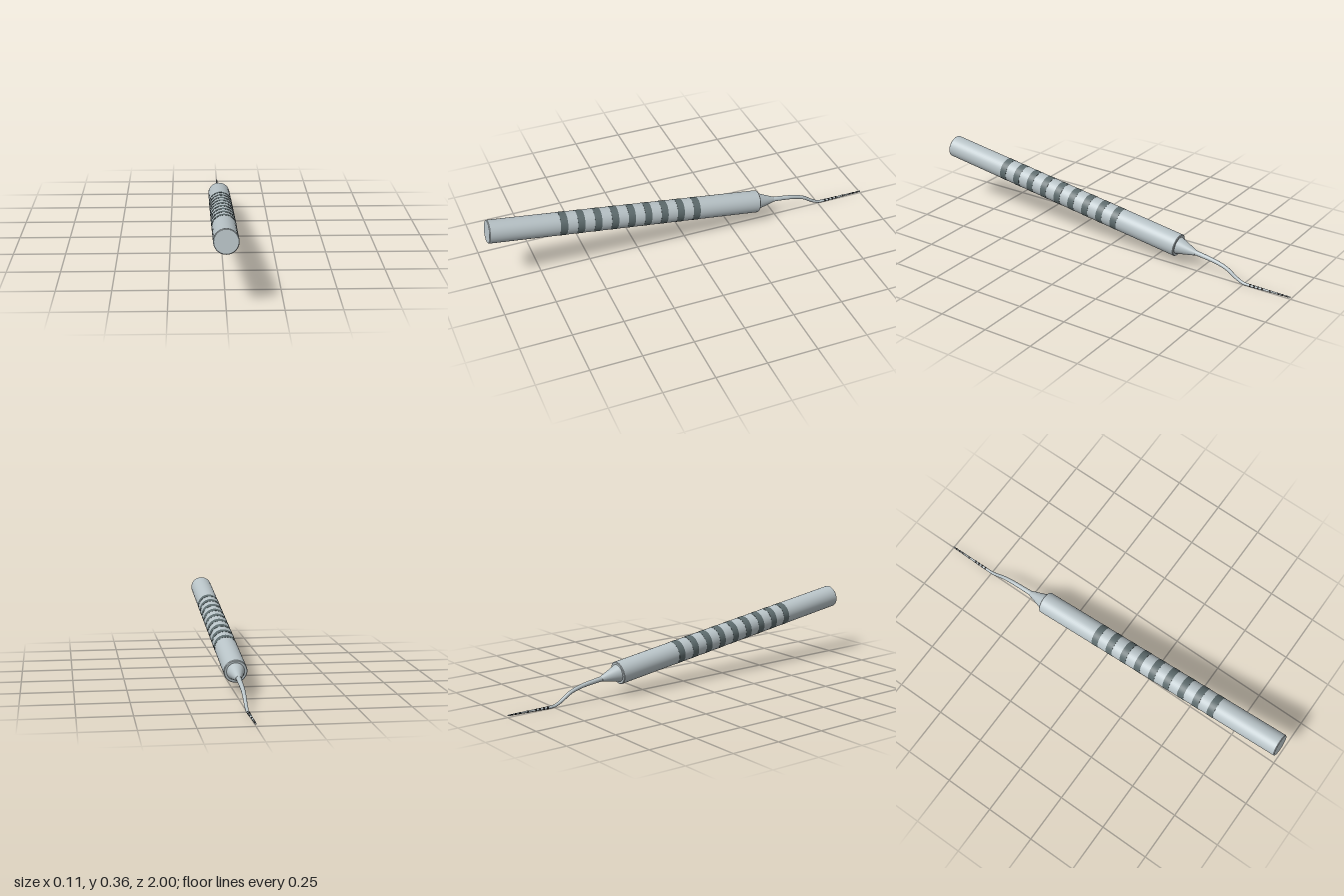
import * as THREE from 'three';

export function createModel() {
  const root = new THREE.Group();
  const metal = new THREE.MeshStandardMaterial({ color: 0xb8c3c7 });
  metal.name = 'brushed metal';
  const grip = new THREE.MeshStandardMaterial({ color: 0x5d6b6d });
  grip.name = 'grip grey';
  const ink = new THREE.MeshStandardMaterial({ color: 0x1c1e20 });
  ink.name = 'mark black';

  const add = (parent, geometry, material, name) => {
    const mesh = new THREE.Mesh(geometry, material);
    mesh.name = name;
    parent.add(mesh);
    return mesh;
  };
  // Lathe with hard corners: every profile span keeps its own normals
  const turned = (parent, profile, material, name, sides = 48) => {
    for (let i = 0; i + 1 < profile.length; i++) {
      const span = profile.slice(i, i + 2).map(([r, y]) => new THREE.Vector2(r, y));
      add(parent, new THREE.LatheGeometry(span, sides), material, name);
    }
  };

  // Handle axis: local +y points towards the butt end
  const butt = new THREE.Vector3(0, 0.309, 0.992);
  const neck = new THREE.Vector3(0, 0.11, -0.395);
  const axis = butt.clone().sub(neck);
  const length = axis.length();
  axis.normalize();
  const handle = new THREE.Group();
  handle.name = 'handle';
  handle.position.copy(neck);
  handle.quaternion.setFromUnitVectors(new THREE.Vector3(0, 1, 0), axis);
  root.add(handle);

  const R = 0.056;
  turned(handle, [
    [0, 0], [R - 0.003, 0], [R, 0.003],
    [R, length - 0.003], [R - 0.003, length], [0, length],
  ], metal, 'handleBody');

  // Grip rings
  for (let i = 0; i < 9; i++) {
    const z = -0.047 + i * 0.085;
    const y = (z - neck.z) / axis.z;
    const h = 0.018, r = R + 0.0008;
    turned(handle, [[R - 0.002, y - h], [r, y - h], [r, y + h], [R - 0.002, y + h]], grip, 'gripRing');
  }

  // Tapered collar between handle and shank
  turned(handle, [[0, -0.095], [0.0135, -0.095], [0.043, 0.001]], metal, 'collar');

  // Curved shank, narrowing towards the probe
  const curve = new THREE.CatmullRomCurve3([
    [0.099, -0.475], [0.091, -0.54], [0.079, -0.61], [0.061, -0.663],
    [0.028, -0.715], [0.012, -0.75], [0.0095, -0.785],
  ].map(([y, z]) => new THREE.Vector3(0, y, z)));
  const steps = 48, sides = 16;
  const shank = new THREE.TubeGeometry(curve, steps, 1, sides);
  const pos = shank.attributes.position;
  const v = new THREE.Vector3();
  for (let i = 0; i <= steps; i++) {
    const c = curve.getPointAt(i / steps);
    const r = THREE.MathUtils.lerp(0.0125, 0.0068, i / steps);
    for (let j = 0; j <= sides; j++) {
      const k = i * (sides + 1) + j;
      v.fromBufferAttribute(pos, k).sub(c).multiplyScalar(r).add(c);
      pos.setXYZ(k, v.x, v.y, v.z);
    }
  }
  add(root, shank, metal, 'shank');

  // Straight measuring tip; local +y points to the end of the probe
  const probe = new THREE.Group();
  probe.name = 'probe';
  probe.position.set(0, 0.0095, -0.78);
  probe.rotation.x = -Math.PI / 2 + 0.012;
  root.add(probe);
  const tip = 0.22;
  const radiusAt = (y) => THREE.MathUtils.lerp(0.0068, 0.003, y / tip);
  turned(probe, [[0, -0.004], [0.0068, -0.004], [0.003, tip - 0.002], [0, tip]], metal, 'probeTip', 16);

  // Graduation marks
  for (const step of [1, 2, 3, 5, 7, 8, 9, 10]) {
    const y = tip - step * 0.021;
    const h = 0.0045;
    const mark = add(probe, new THREE.CylinderGeometry(
      radiusAt(y + h) + 0.0005, radiusAt(y - h) + 0.0005, h * 2, 16), ink, 'depthMark');
    mark.position.y = y;
  }
  return root;
}
